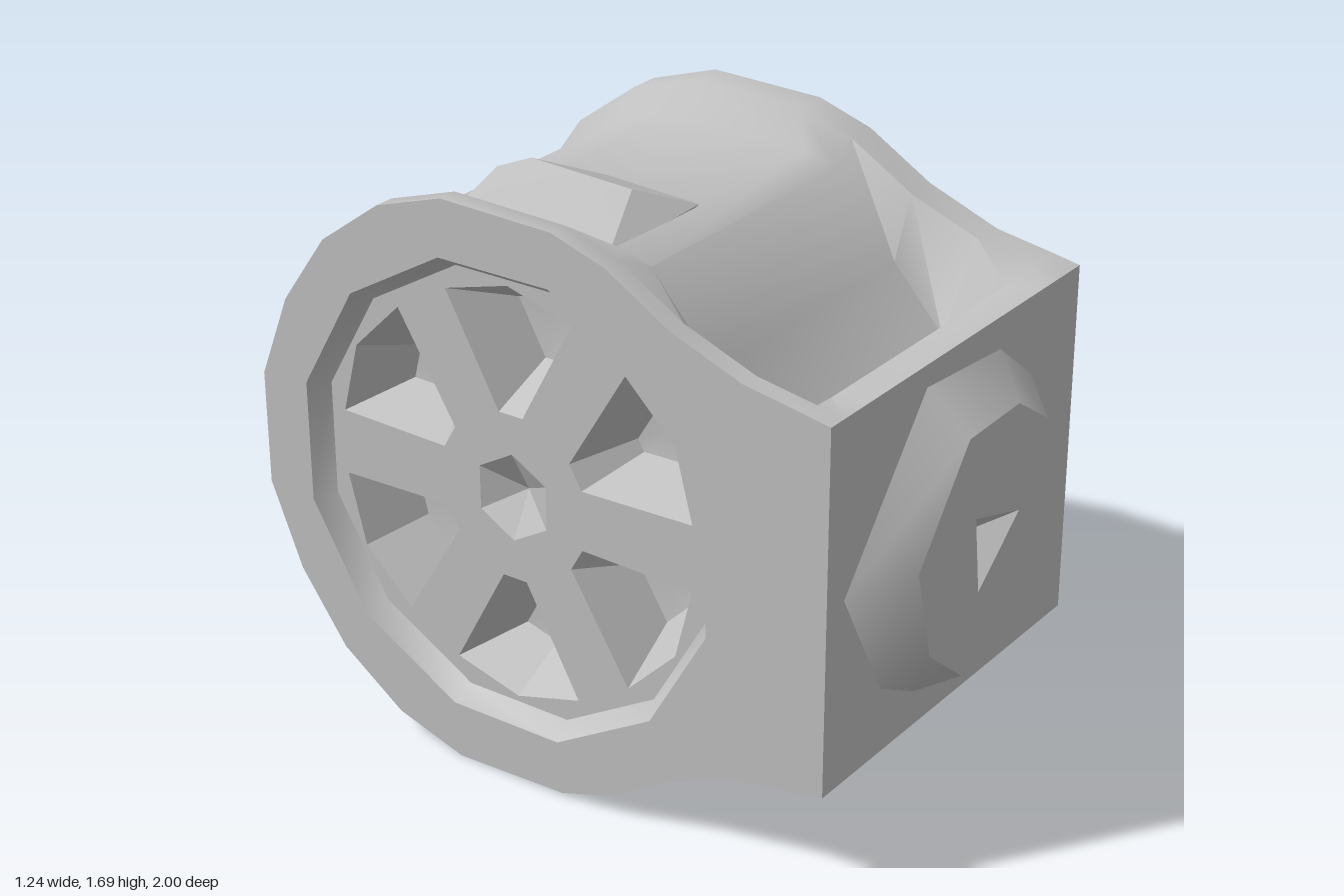
import * as THREE from 'three';
import { toCreasedNormals } from 'three/addons/utils/BufferGeometryUtils.js';
import { ConvexGeometry } from 'three/addons/geometries/ConvexGeometry.js';

const MID_Y = 0.855, AXIS_Z = -0.165;

export function createModel() {
  const model = new THREE.Group();
  model.name = 'motorHousing';
  const metal = new THREE.MeshStandardMaterial({ color: 0xc0c0c0, side: THREE.DoubleSide });
  metal.name = 'grey metal';

  const add = (name, geometry, crease = 0.5) => {
    const mesh = new THREE.Mesh(toCreasedNormals(geometry, crease), metal);
    mesh.name = name;
    model.add(mesh);
  };

  // Skin between closed rings of equal point count
  const loft = (rings) => {
    const n = rings[0].length, index = [];
    for (let r = 0; r < rings.length - 1; r++) {
      for (let i = 0; i < n; i++) {
        const j = (i + 1) % n, a = r * n, b = a + n;
        index.push(a + i, b + i, b + j, a + i, b + j, a + j);
      }
    }
    const g = new THREE.BufferGeometry();
    g.setAttribute('position', new THREE.Float32BufferAttribute(rings.flat(2), 3));
    g.setIndex(index);
    return g;
  };

  // Regular polygon across the x axis, running from top towards the back
  const polar = (r, a) => [AXIS_Z - r * Math.sin(a), MID_Y + r * Math.cos(a)];
  const polygon = (radius, n, offset = 0) =>
    Array.from({ length: n }, (_, i) => polar(radius, (i / n) * Math.PI * 2 + offset));
  const atX = (points, x) => points.map(([z, y]) => [x, y, z]);
  const toVectors = (points) => points.map(([z, y]) => new THREE.Vector2(-z, y));

  // Flat plate across the x axis with holes, facing out to its own side
  const plate = (outline, holes, x) => {
    const shape = new THREE.Shape(toVectors(outline));
    shape.holes = holes.map((h) => new THREE.Path(toVectors(h)));
    const g = new THREE.ShapeGeometry(shape).rotateY(Math.PI / 2).translate(x, 0, 0);
    if (x < 0) {
      g.index.array.reverse();
      g.computeVertexNormals();
    }
    return g;
  };

  // Half outlines as [z, height from the middle], mirrored top to bottom
  const mirrorY = (half) => [
    ...half.map(([z, h]) => [z, MID_Y + h]),
    ...[...half].reverse().map(([z, h]) => [z, MID_Y - h]),
  ];
  const flange = mirrorY([[0.88, 0.53], [0.8, 0.545], [0.62, 0.575], [0.4, 0.66], [0.2, 0.78],
    [0.03, 0.835], [-0.33, 0.845], [-0.55, 0.775], [-0.75, 0.63], [-0.9, 0.42], [-1, 0.17]]);
  const waist = mirrorY([[0.88, 0.53], [0.77, 0.515], [0.58, 0.32], [0.42, 0.5], [0.22, 0.73],
    [0.12, 0.76], [-0.35, 0.765], [-0.52, 0.71], [-0.71, 0.57], [-0.85, 0.38], [-0.925, 0.15]]);

  // Drum and front block with flared end flanges
  add('housingBody', loft([
    atX(flange, -0.62), atX(flange, -0.56), atX(waist, -0.45),
    atX(waist, 0.41), atX(flange, 0.52), atX(flange, 0.62),
  ]), 0.7);

  // End faces with a round opening
  const opening = polygon(0.7, 12, Math.PI / 12);
  add('leftEndFace', plate(flange, [opening], 0.62));
  add('rightEndFace', plate(flange, [opening], -0.62));

  // Recessed bowls: [radius, x] steps from the opening inwards
  const bowl = (name, steps, flip) => add(name, loft(steps.map(([r, x]) => {
    const ring = atX(polygon(r, 12, Math.PI / 12), x);
    return flip ? ring.reverse() : ring;
  })), 0.6);
  bowl('leftDish', [[0.7, 0.62], [0.58, 0.51], [0.42, 0.53], [0.14, 0.535], [0, 0.47]], false);
  bowl('rightRimWall', [[0.7, -0.62], [0.66, -0.56]], true);

  // Spoked wheel with tapering pockets between the spokes
  const pockets = Array.from({ length: 6 }, (_, k) => {
    const a = (k * Math.PI) / 3;
    return [polar(0.25, a - 0.16), polar(0.6, a - 0.36), polar(0.62, a), polar(0.6, a + 0.36), polar(0.25, a + 0.16)].reverse();
  });
  const hub = polygon(0.13, 6);
  add('spokedWheel', plate(polygon(0.66, 12, Math.PI / 12), [...pockets, hub], -0.56));
  pockets.forEach((p, k) => {
    const [cz, cy] = polar(0.44, (k * Math.PI) / 3);
    const floor = p.map(([z, y]) => [cz + (z - cz) * 0.5, cy + (y - cy) * 0.5]);
    const tip = p.map(() => [cz, cy]);
    add('wheelPocket', loft([atX(p, -0.56), atX(floor, -0.38), atX(tip, -0.37)]
      .map((ring) => ring.reverse())), 0.3);
  });
  add('hubDent', loft([[0.13, -0.56], [0, -0.49]].map(([r, x]) => atX(polygon(r, 6), x).reverse())), 0.2);

  // Front boss, flat topped with sloping sides
  const bossTop = [[-0.15, 1.2], [0.1, 1.205], [0.26, 1.1], [0.36, 0.8], [0.16, 0.5], [-0.14, 0.5], [-0.31, 0.64], [-0.38, 0.91]];
  const bossBase = [[-0.17, 1.32], [0.2, 1.29], [0.38, 1.15], [0.46, 0.67], [0.16, 0.415], [-0.18, 0.43], [-0.35, 0.52], [-0.54, 0.87]];
  const pit = [[-0.1, 0.95], [0.13, 0.88], [-0.07, 0.72]];
  const atZ = (points, z) => points.map(([x, y]) => [x, y, z]);
  const asPath = (points) => points.map(([x, y]) => new THREE.Vector2(x, y));
  add('frontBossSides', loft([atZ(bossBase, 0.88), atZ(bossTop, 1)]), 1);
  const cap = new THREE.Shape(asPath(bossTop));
  cap.holes.push(new THREE.Path(asPath(pit)));
  add('frontBossFace', new THREE.ShapeGeometry(cap).translate(0, 0, 1));
  add('frontBossPit', loft([atZ(pit, 1), atZ(pit.map(() => [0, 0.85]), 0.92)]), 0.1);

  // Ridged lugs on the top and underside of the drum
  for (const side of [1, -1]) {
    const points = [
      [-0.2, 0.77, -0.48], [-0.24, 0.84, -0.33], [-0.26, 0.835, 0.02], [-0.07, 0.765, -0.2], [-0.1, 0.765, 0.12],
      [-0.42, 0.78, -0.35], [-0.42, 0.78, 0.06], [-0.5, 0.75, -0.4], [-0.5, 0.75, 0.12],
      [-0.25, 0.7, -0.35], [-0.25, 0.7, 0.12],
    ].map(([x, h, z]) => new THREE.Vector3(x, MID_Y + side * h, z));
    add(side > 0 ? 'topLug' : 'bottomLug', new ConvexGeometry(points), 0.5);
  }

  // Raised pad on the back of the drum
  const pad = [[-0.2, 0.16, -0.9], [-0.1, 0.15, -0.97], [0.45, 0.15, -0.97], [0.48, 0.16, -0.9],
    [-0.12, 0.38, -0.84], [0.46, 0.38, -0.84]];
  add('backPad', new ConvexGeometry(pad.flatMap(([x, h, z]) => [1, -1].map((s) =>
    new THREE.Vector3(x, MID_Y + s * h, z)))), 0.5);

  return model;
}
